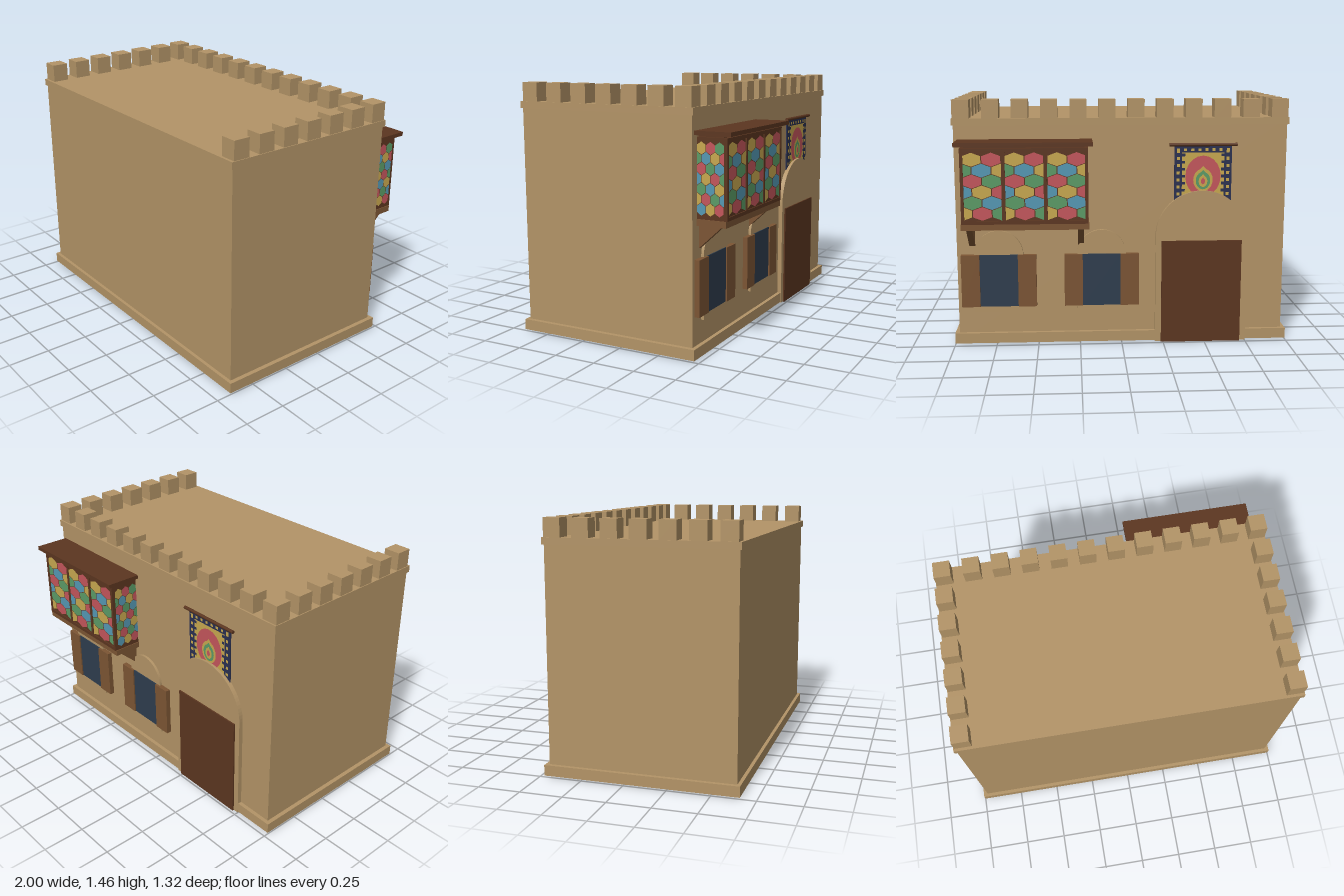
import * as THREE from 'three';
import { mergeGeometries } from 'three/addons/utils/BufferGeometryUtils.js';

const mat = (name, color) => {
  const m = new THREE.MeshStandardMaterial({ color });
  m.name = name;
  return m;
};

export function createModel() {
  const model = new THREE.Group();
  model.name = 'fortifiedHouse';
  const sand = mat('sandstone', 0xb39467);
  const dark = mat('darkWood', 0x5c3620);
  const wood = mat('wood', 0x7c5534);
  const glass = mat('windowGlass', 0x2f3d4e);
  const navy = mat('navyCloth', 0x2a3050);
  const green = mat('green', 0x5b9b66);
  const yellow = mat('yellow', 0xc8a84f);
  const blue = mat('blue', 0x5598b4);
  const red = mat('red', 0xc4565c);

  const add = (name, geo, material, parent = model) => {
    const m = new THREE.Mesh(geo, material);
    m.name = name;
    parent.add(m);
    return m;
  };
  // box given by its two extreme corners
  const box = (name, x0, x1, y0, y1, z0, z1, material, parent) => {
    const g = new THREE.BoxGeometry(x1 - x0, y1 - y0, z1 - z0);
    g.translate((x0 + x1) / 2, (y0 + y1) / 2, (z0 + z1) / 2);
    return add(name, g, material, parent);
  };

  // walls, plinth and cornice
  box('walls', -0.975, 0.975, 0.01, 1.352, -0.45, 0.64, sand);
  box('plinth', -1, 1, 0.008, 0.07, -0.473, 0.66, sand);
  box('cornice', -0.985, 0.985, 1.315, 1.355, -0.46, 0.65, sand);

  // battlements along the facade and both sides
  const merlons = new THREE.Group();
  merlons.name = 'battlements';
  model.add(merlons);
  const merlon = (x, z) =>
    box('merlon', x - 0.049, x + 0.049, 1.35, 1.462, z - 0.049, z + 0.049, sand, merlons);
  for (let i = 0; i < 12; i++) merlon(-0.931 + i * 0.1693, -0.402);
  for (let i = 1; i < 7; i++) for (const s of [-1, 1]) merlon(s * 0.931, -0.402 + i * 0.1645);

  // round-headed raised plate on the facade
  const archPlate = (name, cx, halfWidth, y0, spring, zFront) => {
    const s = new THREE.Shape();
    s.moveTo(cx - halfWidth, y0);
    s.lineTo(cx + halfWidth, y0);
    s.lineTo(cx + halfWidth, spring);
    s.absarc(cx, spring, halfWidth, 0, Math.PI, false);
    const g = new THREE.ExtrudeGeometry(s, { depth: -0.44 - zFront, bevelEnabled: false, curveSegments: 20 });
    g.translate(0, 0, zFront);
    add(name, g, sand);
  };

  // doorway
  archPlate('doorArch', -0.477, 0.275, 0.002, 0.65, -0.476);
  box('door', -0.717, -0.237, 0, 0.625, -0.485, -0.46, dark);

  // shuttered windows
  for (const cx of [0.73, 0.12]) {
    archPlate('windowArch', cx, 0.145, 0.2, 0.55, -0.466);
    box('windowGlass', cx - 0.115, cx + 0.115, 0.235, 0.55, -0.472, -0.46, glass);
    for (const s of [-1, 1]) {
      const a = cx + s * 0.113, b = cx + s * 0.222;
      box('shutter', Math.min(a, b), Math.max(a, b), 0.235, 0.55, -0.48, -0.45, wood);
    }
  }

  // enclosed balcony
  const balcony = new THREE.Group();
  balcony.name = 'balcony';
  model.add(balcony);
  const bx0 = 0.2, bx1 = 0.922, bz = -0.62;
  box('balconyBody', bx0, bx1, 0.765, 1.2, bz, -0.44, dark, balcony);
  box('balconyFloor', bx0 - 0.005, bx1 + 0.005, 0.73, 0.766, -0.622, -0.44, wood, balcony);
  box('balconyCap', bx0 + 0.02, bx1 - 0.02, 1.19, 1.215, -0.6, -0.44, dark, balcony);
  box('balconyRoof', 0.174, 0.952, 1.211, 1.234, -0.66, -0.44, dark, balcony);
  box('topRail', bx0, bx1, 1.18, 1.2, bz - 0.007, bz, dark, balcony);
  box('bottomRail', bx0, bx1, 0.765, 0.785, bz - 0.007, bz, dark, balcony);
  const bay = (bx1 - bx0) / 3;
  for (let i = 0; i < 4; i++) {
    const x = bx0 + 0.009 + i * (bx1 - bx0 - 0.018) / 3;
    box('post', x - 0.009, x + 0.009, 0.765, 1.2, bz - 0.007, bz, dark, balcony);
  }

  // triangular brackets
  for (const x of [0.225, 0.867]) {
    const s = new THREE.Shape();
    s.moveTo(0.44, 0.73);
    s.lineTo(0.44, 0.595);
    s.lineTo(0.45, 0.602);
    s.lineTo(0.588, 0.73);
    const g = new THREE.ExtrudeGeometry(s, { depth: 0.035, bevelEnabled: false });
    g.rotateY(Math.PI / 2);
    g.translate(x, 0, 0);
    add('bracket', g, wood, balcony);
  }

  // coloured lattice: staggered six-sided panes clipped to the panel
  const paneColours = [yellow, red, green, blue];
  const lattice = (w, h, cols, rows) => {
    const group = new THREE.Group();
    group.name = 'colouredLattice';
    const cw = w / cols, pitch = h / (rows + 1 / 3), r = pitch * 2 / 3;
    const sets = paneColours.map(() => []);
    for (let j = 0; j < rows; j++) {
      for (let i = 0; i <= cols; i++) {
        const odd = j % 2;
        if (!odd && i === cols) continue;
        const cx = -w / 2 + (i + (odd ? 0 : 0.5)) * cw;
        const cy = h / 2 - r - j * pitch;
        const pts = [];
        for (let k = 0; k < 6; k++) {
          const a = Math.PI / 6 + k * Math.PI / 3;
          const x = cx + Math.cos(a) / Math.cos(Math.PI / 6) * cw * 0.475;
          pts.push(new THREE.Vector2(THREE.MathUtils.clamp(x, -w / 2, w / 2), cy + Math.sin(a) * r * 0.96));
        }
        sets[(i + j * 2 + (j >> 1)) % 4].push(new THREE.ShapeGeometry(new THREE.Shape(pts)));
      }
    }
    sets.forEach((s, k) => s.length && add(paneColours[k].name + 'Panes', mergeGeometries(s), paneColours[k], group));
    balcony.add(group);
    return group;
  };
  for (let i = 0; i < 3; i++) {
    const p = lattice(bay - 0.018, 0.392, 2, 6);
    p.position.set(bx0 + (i + 0.5) * bay, 0.982, bz - 0.003);
    p.rotation.y = Math.PI;
  }
  for (const s of [-1, 1]) {
    const p = lattice(0.158, 0.395, 3.5 | 0, 7);
    p.position.set(s > 0 ? bx1 + 0.003 : bx0 - 0.003, 0.982, -0.53);
    p.rotation.y = s * Math.PI / 2;
  }

  // hanging rug with border and medallion
  const rug = new THREE.Group();
  rug.name = 'hangingRug';
  rug.position.set(-0.48, 1.01, -0.457);
  rug.rotation.y = Math.PI;
  model.add(rug);
  box('rugCloth', -0.17, 0.17, -0.18, 0.18, -0.007, 0, navy, rug);
  const flat = (name, pts, z, material) => {
    const g = new THREE.ShapeGeometry(new THREE.Shape(pts.map(p => new THREE.Vector2(...p))));
    g.translate(0, 0, z);
    return add(name, g, material, rug);
  };
  const rect = (name, x, y, w, h, z, material) =>
    flat(name, [[x - w, y - h], [x + w, y - h], [x + w, y + h], [x - w, y + h]], z, material);
  rect('rugBorder', 0, 0, 0.125, 0.14, 0.002, yellow);
  for (let i = 0; i < 8; i++) {
    const t = -0.147 + i * 0.042;
    for (const s of [-1, 1]) {
      rect('borderStitch', s * 0.147, t, 0.009, 0.009, 0.002, yellow);
      rect('borderStitch', t, s * 0.157, 0.009, 0.008, 0.002, yellow);
      if (i < 7) rect('borderNotch', s * 0.116, t + 0.021, 0.009, 0.008, 0.003, navy);
    }
  }
  const oval = (name, rx, ry, cy, tip, z, material) => {
    const pts = [];
    for (let k = 0; k < 20; k++) {
      const a = Math.PI / 2 + k * Math.PI / 10;
      pts.push([Math.cos(a) * rx, cy + Math.sin(a) * ry + (k === 0 ? tip : 0)]);
    }
    flat(name, pts, z, material);
  };
  oval('rugField', 0.105, 0.122, 0, 0, 0.004, red);
  oval('medallion', 0.058, 0.068, -0.022, 0.015, 0.005, yellow);
  oval('medallionRing', 0.043, 0.052, -0.026, 0.012, 0.006, green);
  oval('medallionInner', 0.026, 0.034, -0.03, 0.01, 0.007, yellow);
  oval('medallionCore', 0.012, 0.018, -0.03, 0.006, 0.008, red);

  // rug rod
  const rod = add('rugRod', new THREE.CylinderGeometry(0.01, 0.01, 0.4, 10), dark);
  rod.rotation.z = Math.PI / 2;
  rod.position.set(-0.48, 1.197, -0.464);

  return model;
}
